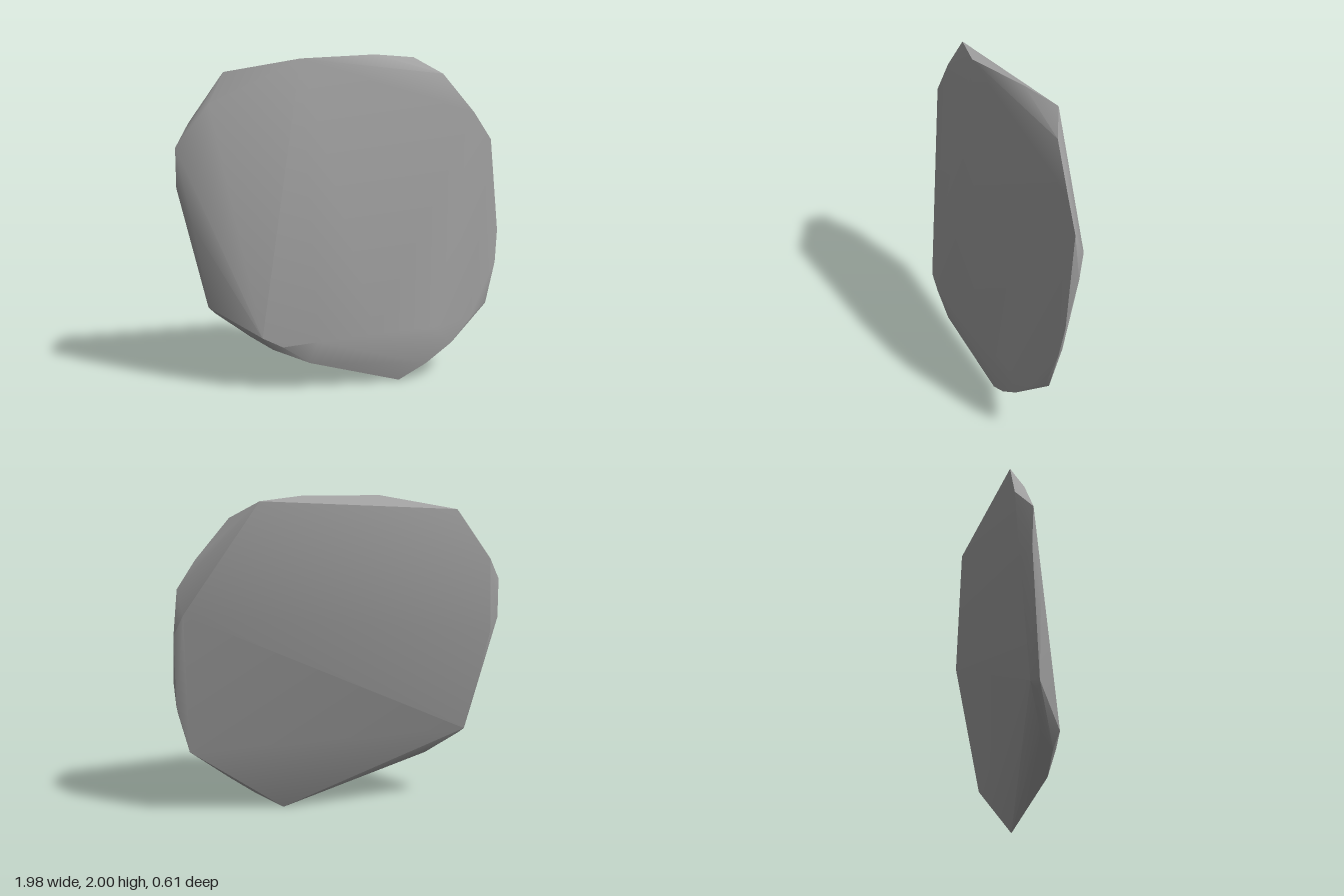
import * as THREE from 'three';
import { ConvexGeometry } from 'three/addons/geometries/ConvexGeometry.js';
import { toCreasedNormals } from 'three/addons/utils/BufferGeometryUtils.js';

// Corners of the broad front face, clockwise from the top left
const frontRim = [
  [-0.79, 1.72, 0.11], [-0.25, 1.98, 0.06], [0.2, 2.0, -0.14],
  [0.63, 1.88, -0.22], [0.83, 1.64, -0.23], [0.94, 1.47, -0.245],
  [0.985, 0.9, -0.2], [0.97, 0.7, -0.17], [0.9, 0.45, -0.12],
  [0.8, 0.36, -0.06], [0.57, 0.33, 0.03], [0.2, 0.32, 0.15],
  [-0.15, 0.3, 0.25], [-0.36, 0.28, 0.29], [-0.48, 0.34, 0.305],
  [-0.89, 1.0, 0.19], [-0.99, 1.46, 0.15],
];

// Chipped lower edge, from left to right
const lowerEdge = [
  [-0.81, 0.5, 0.18], [-0.77, 0.46, 0.17], [-0.56, 0.32, 0.19],
  [-0.42, 0.26, 0.27], [-0.2, 0.17, 0.25], [0.35, 0.0, 0.06],
  [0.52, 0.1, 0.04], [0.68, 0.22, 0.0],
];

// Corners of the back face
const backRim = [
  [-0.71, 1.9, 0.03], [0.45, 1.98, -0.27], [0.9, 1.33, -0.308],
  [0.965, 1.2, -0.27], [0.975, 0.75, -0.19], [0.91, 0.44, -0.14],
  [-0.8, 0.5, 0.13], [-0.94, 1.15, 0.075], [-0.99, 1.22, 0.14],
  [-0.92, 1.6, 0.05],
];

export function createModel() {
  const stone = new THREE.MeshStandardMaterial({ color: 0xa0a0a0 });
  stone.name = 'grey stone';

  // Hull of all corners, with soft shallow edges and crisp steep ones
  const points = [...frontRim, ...lowerEdge, ...backRim].map((p) => new THREE.Vector3(...p));
  const slab = new THREE.Mesh(toCreasedNormals(new ConvexGeometry(points), 0.6), stone);
  slab.name = 'stoneSlab';

  const model = new THREE.Group();
  model.name = 'flatRock';
  model.add(slab);
  return model;
}
